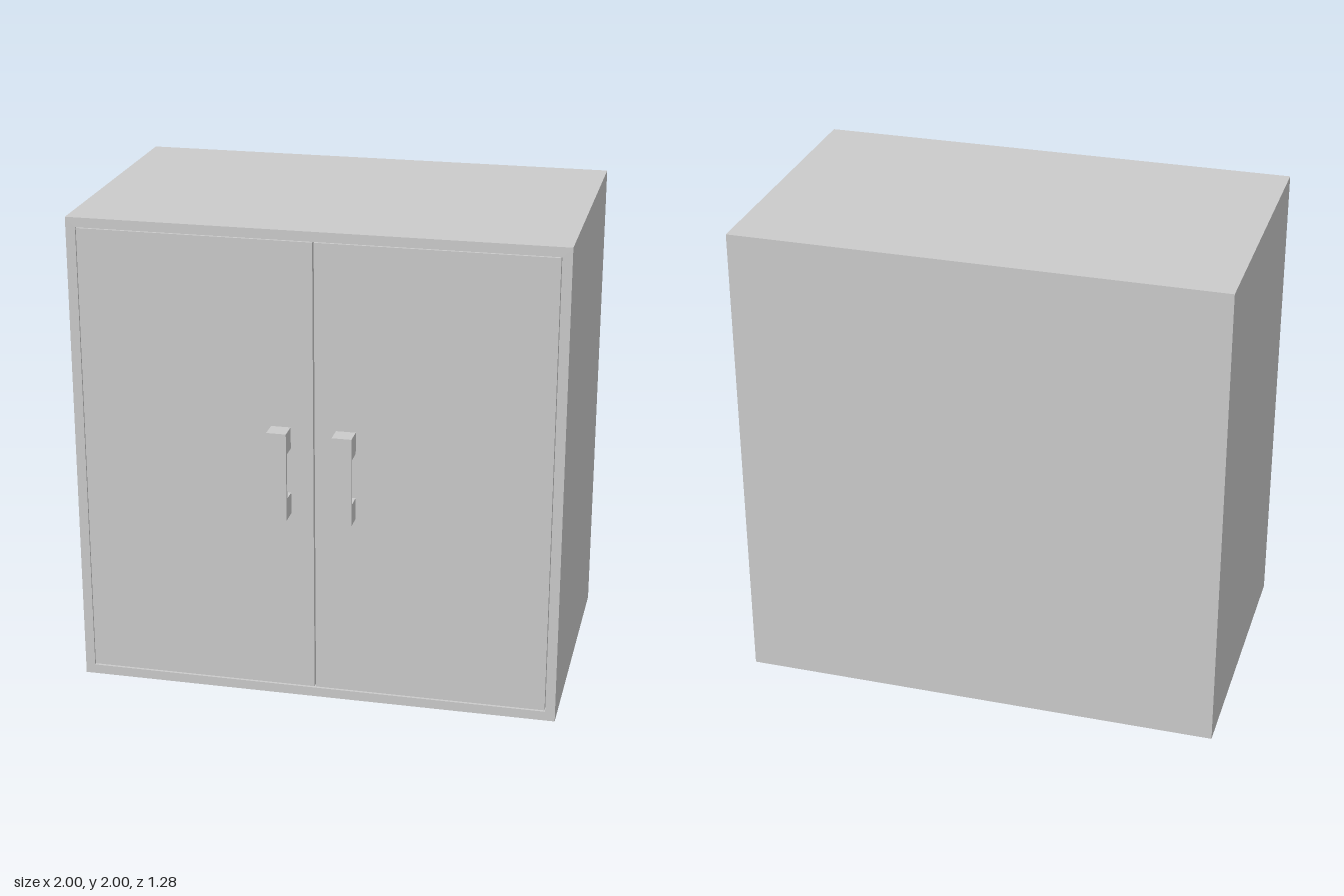
import * as THREE from 'three';

const material = new THREE.MeshStandardMaterial({ color: 0xcccccc, flatShading: true });

// Main dimensions
const BACK = -0.64, FRONT = 0.56, WALL = 0.04, GAP = 0.003;

// Box given by its minimum and maximum corners
function box(name, [x0, y0, z0], [x1, y1, z1]) {
  const geometry = new THREE.BoxGeometry(x1 - x0, y1 - y0, z1 - z0);
  geometry.translate((x0 + x1) / 2, (y0 + y1) / 2, (z0 + z1) / 2);
  const mesh = new THREE.Mesh(geometry, material);
  mesh.name = name;
  return mesh;
}

// Square bracket handle: a C profile in (z, y), extruded across x
function handle(name, x) {
  const width = 0.08;
  const profile = new THREE.Shape([
    [0, 0.82], [0.08, 0.82], [0.08, 1.19], [0, 1.19],
    [0, 1.10], [0.065, 1.10], [0.065, 0.91], [0, 0.91],
  ].map(([z, y]) => new THREE.Vector2(z, y)));
  const geometry = new THREE.ExtrudeGeometry(profile, { depth: width, bevelEnabled: false });
  geometry.rotateY(-Math.PI / 2);
  geometry.translate(x + width / 2, 0, FRONT);
  const mesh = new THREE.Mesh(geometry, material);
  mesh.name = name;
  return mesh;
}

export function createModel() {
  const cabinet = new THREE.Group();
  cabinet.name = 'cabinet';

  // Carcass: a square tube extruded front to back, closed by a back panel
  const outline = new THREE.Shape()
    .moveTo(-1, 0).lineTo(1, 0).lineTo(1, 2).lineTo(-1, 2).closePath();
  const inner = 1 - WALL;
  outline.holes.push(new THREE.Path()
    .moveTo(-inner, WALL).lineTo(-inner, 2 - WALL).lineTo(inner, 2 - WALL).lineTo(inner, WALL).closePath());
  const shell = new THREE.ExtrudeGeometry(outline, { depth: FRONT - BACK, bevelEnabled: false });
  shell.translate(0, 0, BACK);
  const carcass = new THREE.Mesh(shell, material);
  carcass.name = 'carcass';
  cabinet.add(carcass);
  cabinet.add(box('backPanel', [-inner, WALL, BACK], [inner, 2 - WALL, BACK + WALL]));

  // Inset doors, flush with the carcass front, with thin gaps around them
  const bottom = WALL + 2 * GAP, top = 2 - WALL - GAP;
  cabinet.add(box('leftDoor', [GAP, bottom, FRONT - WALL], [inner - GAP, top, FRONT]));
  cabinet.add(box('rightDoor', [GAP - inner, bottom, FRONT - WALL], [-GAP, top, FRONT]));

  // Handles beside the middle gap
  cabinet.add(handle('leftHandle', 0.13), handle('rightHandle', -0.135));

  return cabinet;
}
